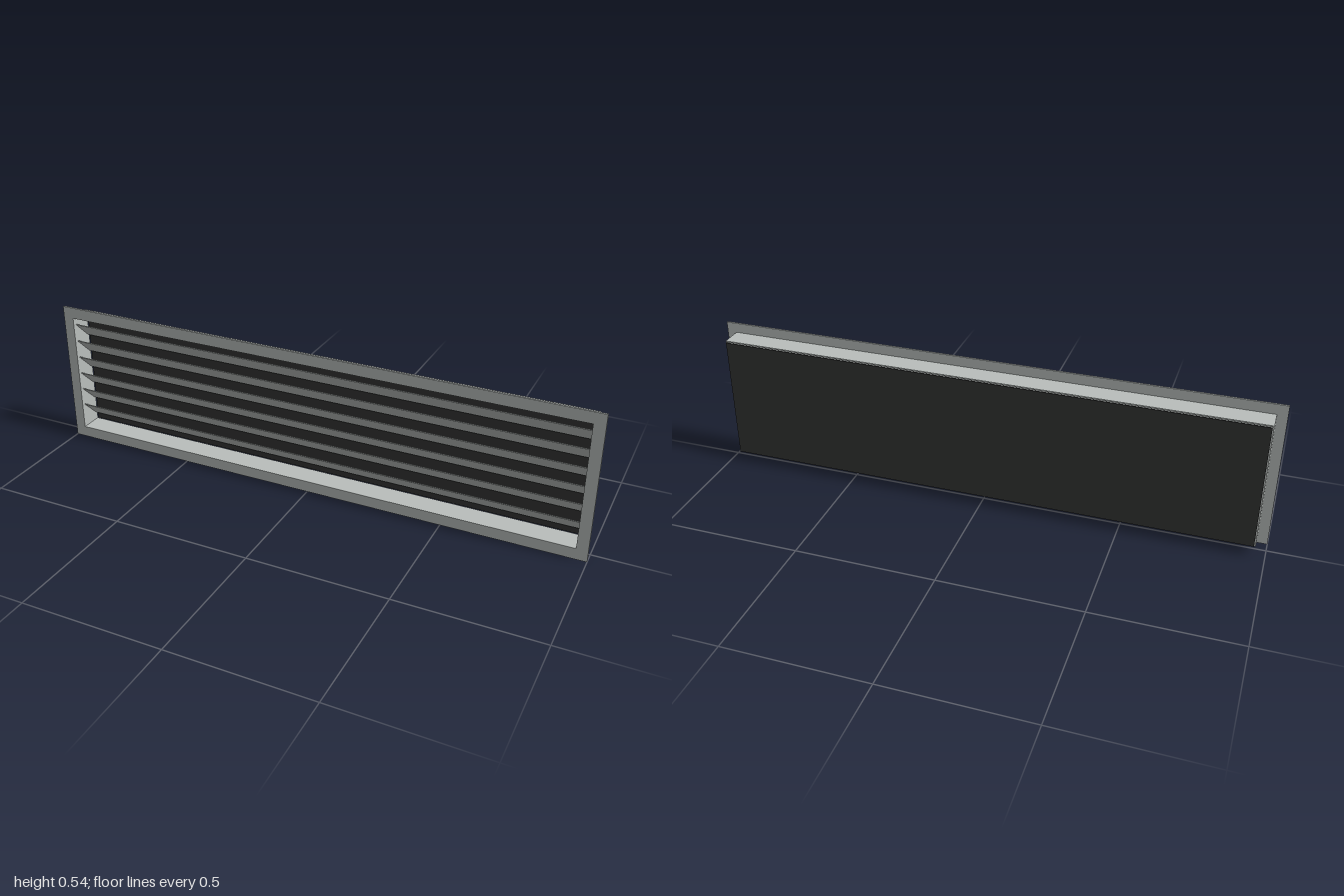
import * as THREE from 'three';

const W = 2, H = 0.535, MID = H / 2;

// Rectangular ring centred on the origin, extruded along +z
function ring(w, h, innerW, innerH, depth) {
  const rect = (P, a, b) => {
    const p = new P();
    p.moveTo(-a / 2, -b / 2);
    p.lineTo(a / 2, -b / 2);
    p.lineTo(a / 2, b / 2);
    p.lineTo(-a / 2, b / 2);
    p.closePath();
    return p;
  };
  const shape = rect(THREE.Shape, w, h);
  shape.holes.push(rect(THREE.Path, innerW, innerH));
  return new THREE.ExtrudeGeometry(shape, { depth, bevelEnabled: false });
}

export function createModel() {
  const metal = new THREE.MeshStandardMaterial({ color: 0xb9bebc });
  metal.name = 'pale grey metal';
  const dark = new THREE.MeshStandardMaterial({ color: 0x333433 });
  dark.name = 'dark backing';

  const model = new THREE.Group();
  model.name = 'louvreVent';
  const add = (name, geometry, material, y, z, parent = model) => {
    const mesh = new THREE.Mesh(geometry, material);
    mesh.name = name;
    mesh.position.set(0, y, z);
    parent.add(mesh);
    return mesh;
  };

  // Front flange and the shallow duct behind it
  add('flange', ring(W, H, 1.92, 0.453, 0.007), metal, MID, 0.039);
  add('duct', ring(1.93, 0.463, 1.92, 0.453, 0.077), metal, MID, -0.038);

  // Backing panel, set slightly behind the duct
  add('backPanel', new THREE.BoxGeometry(1.92, 0.455, 0.004), dark, MID, -0.044);

  // Six slats, high at the front and low at the back
  const slats = new THREE.Group();
  slats.name = 'slats';
  model.add(slats);
  const slat = new THREE.BoxGeometry(1.92, 0.003, 0.09);
  for (let i = 0; i < 6; i++) {
    const mesh = add('slat', slat, metal, MID + (i - 2.5) * 0.0664, 0, slats);
    mesh.rotation.x = -Math.PI / 4;
  }
  return model;
}
